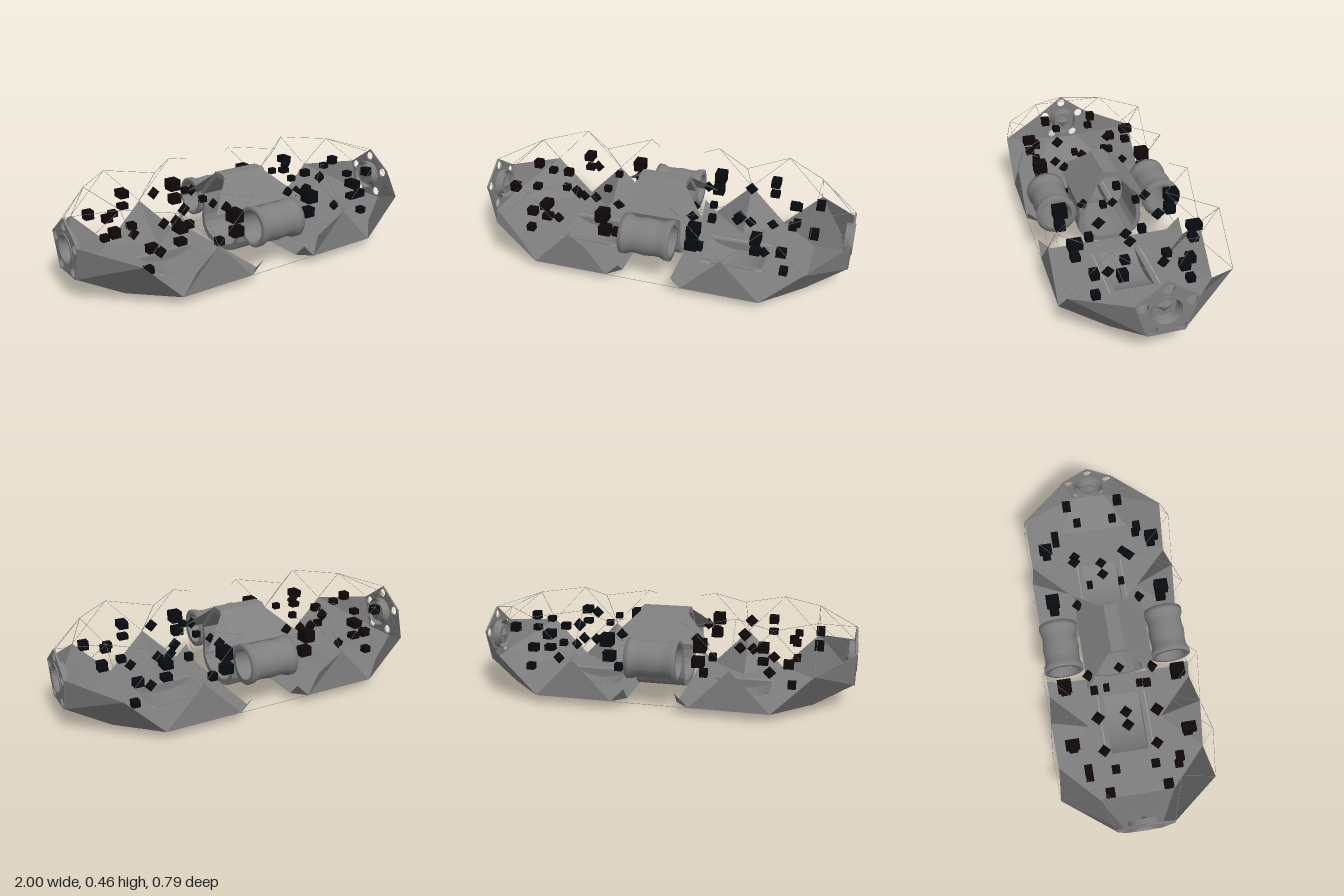
import * as THREE from 'three';

const grey = new THREE.MeshStandardMaterial({ color: 0x7f7f7f, flatShading: true, side: THREE.DoubleSide });
const smooth = new THREE.MeshStandardMaterial({ color: 0x7f7f7f, side: THREE.DoubleSide });
const blueBlack = new THREE.MeshStandardMaterial({ color: 0x070c10 });
const redBlack = new THREE.MeshStandardMaterial({ color: 0x100808 });

const B = 0.045, M = 0.25, T = 0.46, W = 0.393, CUT = 0.13; // floor, rim, roof, half width, inner end
const NOSE = 0.99; // hull end behind the port plate

function add(parent, name, geometry, material = grey) {
  const mesh = new THREE.Mesh(geometry, material);
  mesh.name = name;
  parent.add(mesh);
  return mesh;
}

// Flat panels: each face is a list of [x, y, z] corners, fanned into triangles
function panels(parent, name, faces) {
  const p = [];
  for (const f of faces)
    for (let i = 1; i < f.length - 1; i++) p.push(...f[0], ...f[i], ...f[i + 1]);
  const g = new THREE.BufferGeometry();
  g.setAttribute('position', new THREE.Float32BufferAttribute(p, 3));
  g.computeVertexNormals();
  add(parent, name, g);
}

// Thin bar between two points
function strut(parent, a, b) {
  const va = new THREE.Vector3(...a), vb = new THREE.Vector3(...b);
  const m = add(parent, 'canopyStrut', new THREE.BoxGeometry(0.0015, 0.0015, va.distanceTo(vb)));
  m.position.copy(va).add(vb).multiplyScalar(0.5);
  m.lookAt(vb);
}

function pentagon(r) {
  const pts = [];
  for (let i = 0; i < 5; i++) {
    const a = Math.PI / 2 + i * Math.PI * 0.4;
    pts.push(new THREE.Vector2(r * Math.cos(a), r * Math.sin(a)));
  }
  return pts;
}

function circlePath(x, y, r) {
  const p = new THREE.Path();
  p.absarc(x, y, r, 0, Math.PI * 2, true);
  return p;
}

function rectPath(x0, x1, y0, y1) {
  return new THREE.Path([[x0, y0], [x0, y1], [x1, y1], [x1, y0]].map(([x, y]) => new THREE.Vector2(x, y)));
}

// Pentagonal end plate with lamp holes and a recessed round hatch
function makePort() {
  const port = new THREE.Group();
  port.name = 'endPort';
  const plate = new THREE.Shape(pentagon(0.155));
  for (const c of pentagon(0.116)) plate.holes.push(circlePath(c.x, c.y, 0.025));
  plate.holes.push(circlePath(0, 0, 0.08));
  const g = new THREE.ExtrudeGeometry(plate, { depth: 0.01, bevelEnabled: false, curveSegments: 12 });
  add(port, 'portPlate', g.rotateY(Math.PI / 2).translate(0.985, 0, 0));
  const cup = [[0, -0.045], [0.055, -0.045], [0.06, -0.015], [0.068, 0], [0.08, 0], [0.08, -0.045]];
  const ring = new THREE.LatheGeometry(cup.map(([r, y]) => new THREE.Vector2(r, y)), 32);
  add(port, 'hatchRing', ring.rotateZ(-Math.PI / 2).translate(1, 0, 0));
  const knob = new THREE.OctahedronGeometry(0.045).scale(0.4, 0.85, 0.85);
  add(port, 'hatchKnob', knob.translate(0.955, 0, 0));
  port.position.y = M;
  return port;
}

// Lower hull: zigzag floor, corner pyramids and the tapered end
function makeHull() {
  const hull = new THREE.Group();
  hull.name = 'hull';
  const inner = W - (0.2 - CUT) * 0.95;
  const side = [[CUT, inner], [0.2, W], [0.4, 0.2], [0.6, W], [0.8, 0.2]];
  const outline = [...side, ...side.map(([x, z]) => [x, -z]).reverse()];
  const floor = new THREE.Shape(outline.map(([x, z]) => new THREE.Vector2(x, z)));
  // Trough opening with a narrow seam along each side
  floor.holes.push(rectPath(0.243, 0.567, -0.1, 0.1));
  for (const z of [-0.13, 0.13]) floor.holes.push(rectPath(0.24, 0.573, z - 0.003, z + 0.003));
  add(hull, 'floor', new THREE.ShapeGeometry(floor).rotateX(Math.PI / 2).translate(0, B, 0));

  for (const s of [1, -1]) {
    const w = s * W, d = s * 0.2;
    const low = [0.8, B, d], rim = [0.8, M, w], base = [0.6, B, w];
    const nose = [NOSE, 0.125, s * 0.09], cheek = [NOSE, 0.298, s * 0.147];
    panels(hull, 'endSide', [[base, rim, low], [rim, low, nose], [rim, nose, cheek]]);
    const apex = [0.4, M, w], back = [0.4, B, d], left = [0.2, B, w];
    panels(hull, 'sidePyramid', [[left, base, apex], [left, apex, back], [base, back, apex]]);
    panels(hull, 'innerCorner', [[left, [CUT, B + 0.07, w], [CUT, B, s * inner]]]);
    panels(hull, 'tunnelFin', [[[CUT, 0.31, s * 0.18], [0.27, 0.31, s * 0.18], [CUT, 0.44, s * 0.05]]]);
  }
  panels(hull, 'endRamp', [[[0.8, B, 0.2], [0.8, B, -0.2], [NOSE, 0.125, -0.09], [NOSE, 0.125, 0.09]]]);
  return hull;
}

// Curved shallow trough hanging under the floor
function makeTrough() {
  const trough = new THREE.Group();
  trough.name = 'trough';
  const R = 0.307, half = Math.asin(0.162 / R);
  const skin = new THREE.CylinderGeometry(R, R, 0.2, 20, 1, true, -half, half * 2);
  add(trough, 'troughSkin', skin.rotateX(Math.PI / 2), smooth);
  const cap = new THREE.Shape();
  cap.absarc(0, 0, R, -Math.PI / 2 - half, -Math.PI / 2 + half, false);
  for (const z of [-0.1, 0.1])
    add(trough, 'troughEnd', new THREE.ShapeGeometry(cap, 20).translate(0, 0, z));
  trough.position.set(0.405, R, 0);
  return trough;
}

// Open canopy frame mirroring the floor zigzag
function makeCanopy() {
  const canopy = new THREE.Group();
  canopy.name = 'canopy';
  const crown = [NOSE, 0.405, 0];
  for (const s of [1, -1]) {
    const w = s * W, d = s * 0.2;
    const top = [[CUT, T, s * 0.32], [0.2, T, w], [0.4, T, d], [0.6, T, w], [0.8, T, d]];
    const mid = [0.4, M, w], rim = [0.8, M, w], cheek = [NOSE, 0.298, s * 0.147];
    for (let i = 0; i < 4; i++) strut(canopy, top[i], top[i + 1]);
    for (const t of [top[1], top[2], top[3]]) strut(canopy, mid, t);
    for (const t of [top[3], top[4], cheek]) strut(canopy, rim, t);
    strut(canopy, top[4], cheek);
    strut(canopy, top[4], crown);
    strut(canopy, [0.2, B, w], [0, B, w]);
  }
  strut(canopy, [0.8, T, 0.2], [0.8, T, -0.2]);
  return canopy;
}

// Small loose cargo: blocks as x, y, z, width, height, depth; diamonds as x, y, z, radius
function makeCargo(material) {
  const cargo = new THREE.Group();
  cargo.name = 'cargo';
  const blocks = [
    [0.23, 0.255, 0.295, 0.06, 0.05, 0.05], [0.24, 0.34, 0.295, 0.06, 0.06, 0.07],
    [0.55, 0.28, 0.295, 0.05, 0.03, 0.045], [0.55, 0.35, 0.295, 0.05, 0.04, 0.07],
    [0.67, 0.255, 0.235, 0.05, 0.04, 0.04], [0.7, 0.33, 0.1, 0.04, 0.03, 0.04],
    [0.69, 0.15, 0.235, 0.04, 0.035, 0.04], [0.81, 0.335, 0.145, 0.045, 0.045, 0.045],
    [0.29, 0.375, 0.085, 0.035, 0.03, 0.03], [0.23, 0.15, 0.145, 0.04, 0.04, 0.04],
  ];
  const diamonds = [[0.44, 0.37, 0.15, 0.036], [0.2, 0.335, 0.165, 0.034], [0.57, 0.175, 0.14, 0.034]];
  const centre = [[0.4, 0.255, 0, 0.034], [0.47, 0.255, 0, 0.034], [0.17, 0.3, 0, 0.03]];
  const place = (name, geometry, x, y, z) => add(cargo, name, geometry, material).position.set(x, y, z);
  for (const s of [1, -1]) {
    for (const [x, y, z, ...size] of blocks) place('cargoBlock', new THREE.BoxGeometry(...size), x, y, s * z);
    for (const [x, y, z, r] of diamonds) place('cargoDiamond', new THREE.OctahedronGeometry(r), x, y, s * z);
  }
  for (const [x, y, z, r] of centre) place('cargoDiamond', new THREE.OctahedronGeometry(r), x, y, z);
  return cargo;
}

// Middle joint: a tunnel with a rounded belly between two waisted side tubes
function makeJoint() {
  const joint = new THREE.Group();
  joint.name = 'joint';
  const half = [[0.035, 0.458], [0.18, 0.31], [0.168, 0.27], [0.165, 0.22], [0.172, 0.17], [0.165, 0.12],
    [0.145, 0.085], [0.11, 0.06], [0.06, B]];
  const outer = [...half, ...half.map(([z, y]) => [-z, y]).reverse()];
  const k = 0.86;
  const shape = new THREE.Shape(outer.map(([z, y]) => new THREE.Vector2(z, y)));
  shape.holes.push(new THREE.Path(outer.map(([z, y]) => new THREE.Vector2(z * k, M + (y - M) * k))));
  const body = new THREE.ExtrudeGeometry(shape, { depth: CUT * 2, bevelEnabled: false });
  add(joint, 'tunnel', body.rotateY(Math.PI / 2).translate(-CUT, 0, 0));

  const profile = [[0.08, -0.13], [0.105, -0.13], [0.104, -0.105], [0.093, -0.08], [0.092, -0.05], [0.097, 0]];
  const mirrored = profile.slice(0, -1).map(([r, y]) => [r, -y]).reverse();
  const points = [...profile, ...mirrored, profile[0]].map(([r, y]) => new THREE.Vector2(r, y));
  for (const s of [1, -1]) {
    const tube = add(joint, 'sideTube', new THREE.LatheGeometry(points, 36).rotateZ(Math.PI / 2), smooth);
    tube.position.set(0, M, s * 0.288);
  }
  return joint;
}

export function createModel() {
  const model = new THREE.Group();
  model.name = 'station';
  for (const s of [1, -1]) {
    const pod = new THREE.Group();
    pod.name = s > 0 ? 'leftPod' : 'rightPod';
    pod.add(makeHull(), makeTrough(), makePort(), makeCanopy(), makeCargo(s > 0 ? blueBlack : redBlack));
    pod.scale.x = s;
    model.add(pod);
  }
  model.add(makeJoint());
  return model;
}
